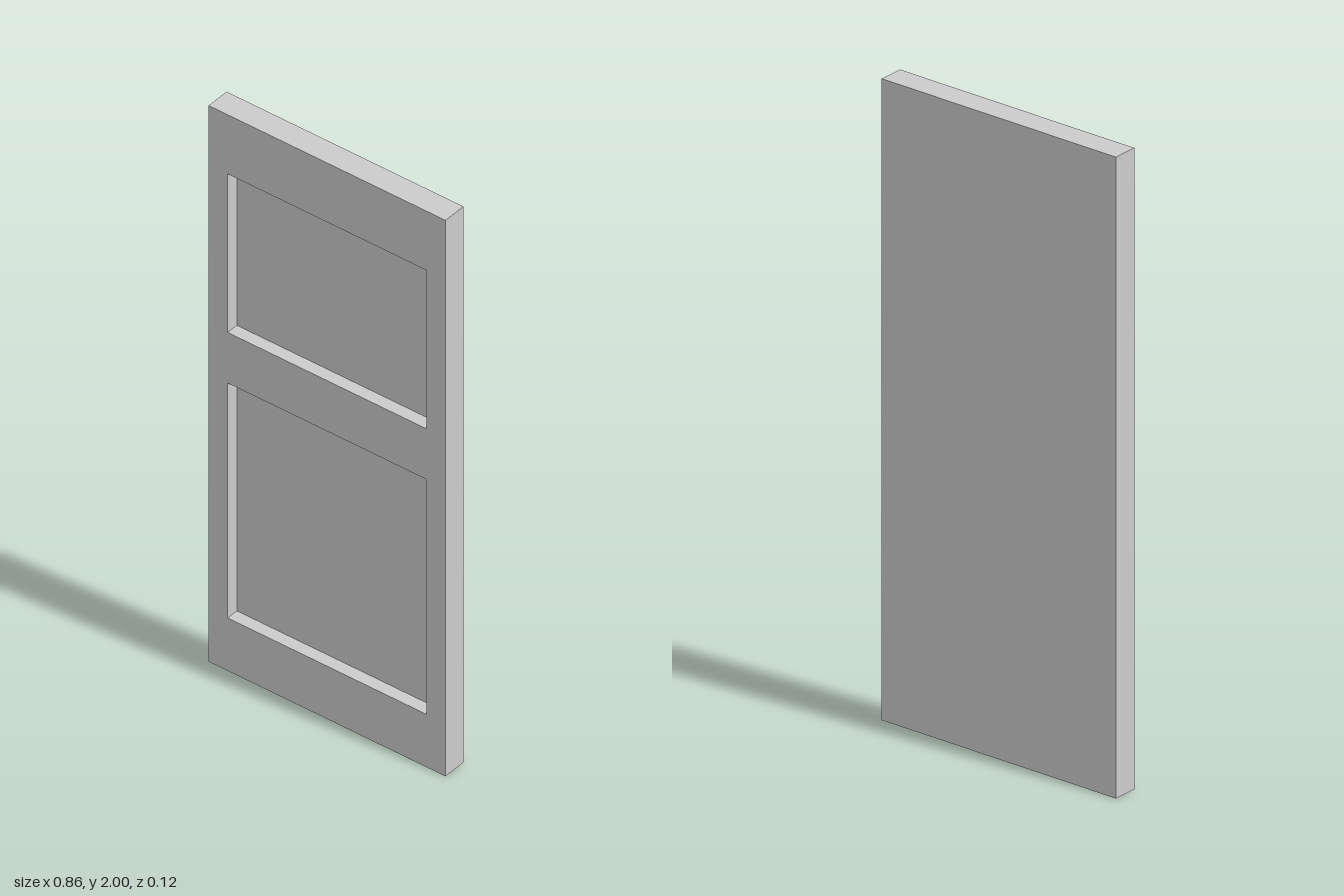
import * as THREE from 'three';

const WIDTH = 0.858, HEIGHT = 2, THICK = 0.082;
const RECESS_DEPTH = 0.042, HALF_PANEL = 0.36;
const PANELS = [
  { name: 'lowerPanel', bottom: 0.19, top: 1.035 },
  { name: 'upperPanel', bottom: 1.217, top: 1.787 },
];

// Traces a rectangle on a shape or hole path
function rectangle(path, halfWidth, bottom, top) {
  path.moveTo(-halfWidth, bottom);
  path.lineTo(halfWidth, bottom);
  path.lineTo(halfWidth, top);
  path.lineTo(-halfWidth, top);
  path.closePath();
  return path;
}

export function createModel() {
  const door = new THREE.Group();
  door.name = 'door';
  const material = new THREE.MeshStandardMaterial({ color: 0xcccccc });

  // Stiles and rails: a full-thickness slab with two panel openings
  const outline = rectangle(new THREE.Shape(), WIDTH / 2, 0, HEIGHT);
  for (const { bottom, top } of PANELS) {
    outline.holes.push(rectangle(new THREE.Path(), HALF_PANEL, bottom, top));
  }
  const frameGeometry = new THREE.ExtrudeGeometry(outline, { depth: THICK, bevelEnabled: false });
  frameGeometry.translate(0, 0, -THICK / 2);
  const frame = new THREE.Mesh(frameGeometry, material);
  frame.name = 'doorFrame';
  door.add(frame);

  // Panels: flush with the back, recessed at the front
  const panelThick = THICK - RECESS_DEPTH;
  for (const { name, bottom, top } of PANELS) {
    const panel = new THREE.Mesh(new THREE.BoxGeometry(2 * HALF_PANEL, top - bottom, panelThick), material);
    panel.name = name;
    panel.position.set(0, (bottom + top) / 2, (panelThick - THICK) / 2);
    door.add(panel);
  }

  // The door stands slightly turned
  door.rotation.y = -0.05;
  const model = new THREE.Group();
  model.name = 'panelDoor';
  model.add(door);
  return model;
}
